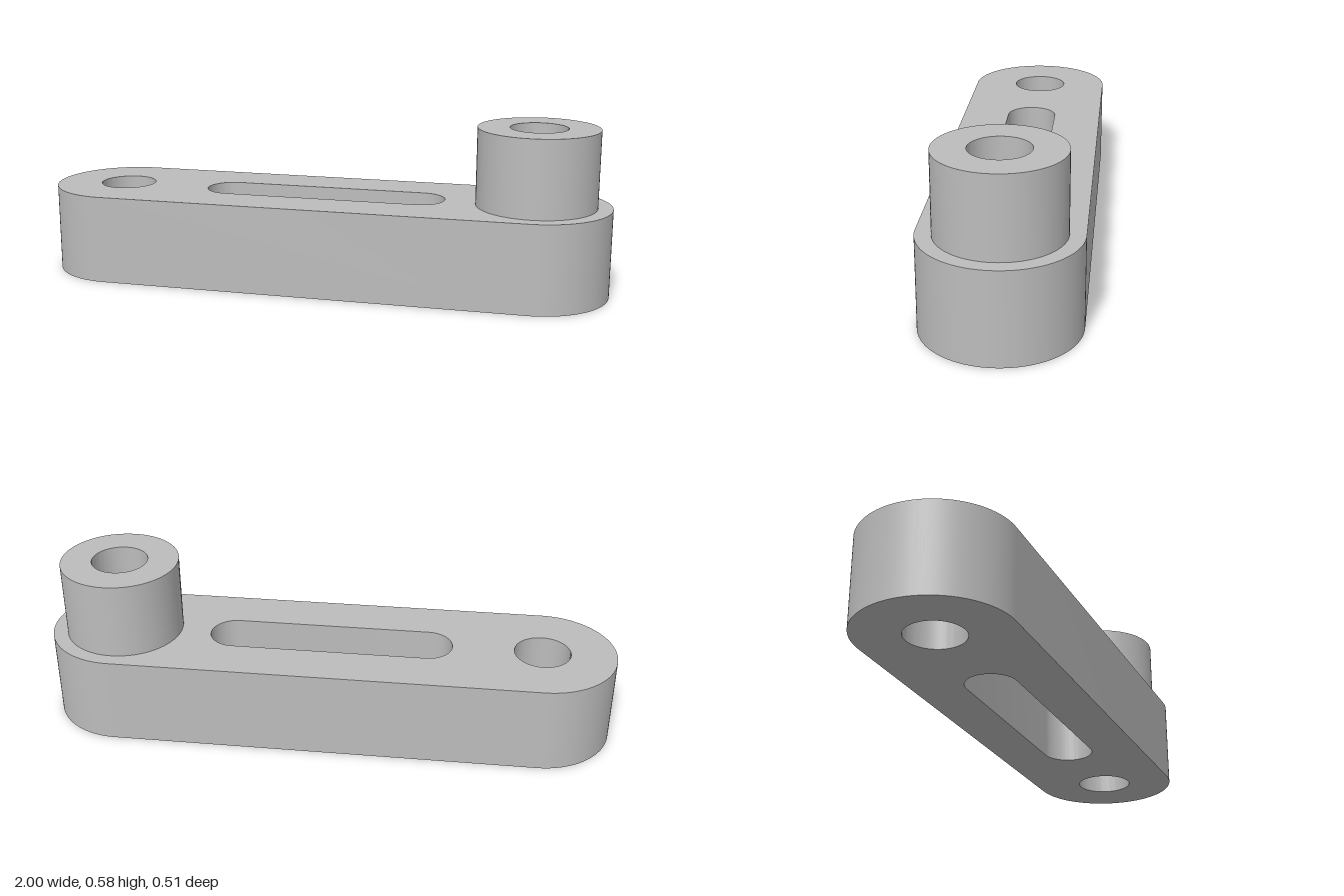
import * as THREE from 'three';
import { toCreasedNormals } from 'three/addons/utils/BufferGeometryUtils.js';

const PIVOT_X = 0.743;   // distance of each bore from the centre
const END_R = 0.257;     // rounded ends of the arm
const BORE_R = 0.098;
const ARM_H = 0.309;
const BOSS_R = 0.206;
const TOP_Y = 0.577;

// Rounded slot outline centred on the origin
function slot(PathType, halfSpan, r) {
  const p = new PathType();
  p.moveTo(-halfSpan, -r);
  p.lineTo(halfSpan, -r);
  p.absarc(halfSpan, 0, r, -Math.PI / 2, Math.PI / 2, false);
  p.lineTo(-halfSpan, r);
  p.absarc(-halfSpan, 0, r, Math.PI / 2, Math.PI * 1.5, false);
  return p;
}

function circle(PathType, x, r) {
  const p = new PathType();
  p.absarc(x, 0, r, 0, Math.PI * 2, false);
  return p;
}

// Extrude a plan outline upwards, smooth round the curves, sharp at the rims
function extrudeUp(shape, y0, y1) {
  const geo = new THREE.ExtrudeGeometry(shape, { depth: y1 - y0, bevelEnabled: false, curveSegments: 40 });
  geo.rotateX(-Math.PI / 2);
  geo.translate(0, y0, 0);
  return toCreasedNormals(geo, Math.PI / 6);
}

export function createModel() {
  const group = new THREE.Group();
  group.name = 'linkArm';
  const steel = new THREE.MeshStandardMaterial({ color: 0xbcbcbc });
  steel.name = 'grey steel';

  const add = (name, geometry) => {
    const mesh = new THREE.Mesh(geometry, steel);
    mesh.name = name;
    group.add(mesh);
  };

  // Arm with a bore at each end and a long slot between them
  const arm = slot(THREE.Shape, PIVOT_X, END_R);
  arm.holes.push(
    circle(THREE.Path, -PIVOT_X, BORE_R),
    circle(THREE.Path, PIVOT_X, BORE_R),
    slot(THREE.Path, 0.342, 0.088)
  );
  add('arm', extrudeUp(arm, 0, ARM_H));

  // Hollow boss continuing the bore above the arm
  const boss = circle(THREE.Shape, PIVOT_X, BOSS_R);
  boss.holes.push(circle(THREE.Path, PIVOT_X, BORE_R));
  add('boss', extrudeUp(boss, ARM_H, TOP_Y));

  return group;
}
